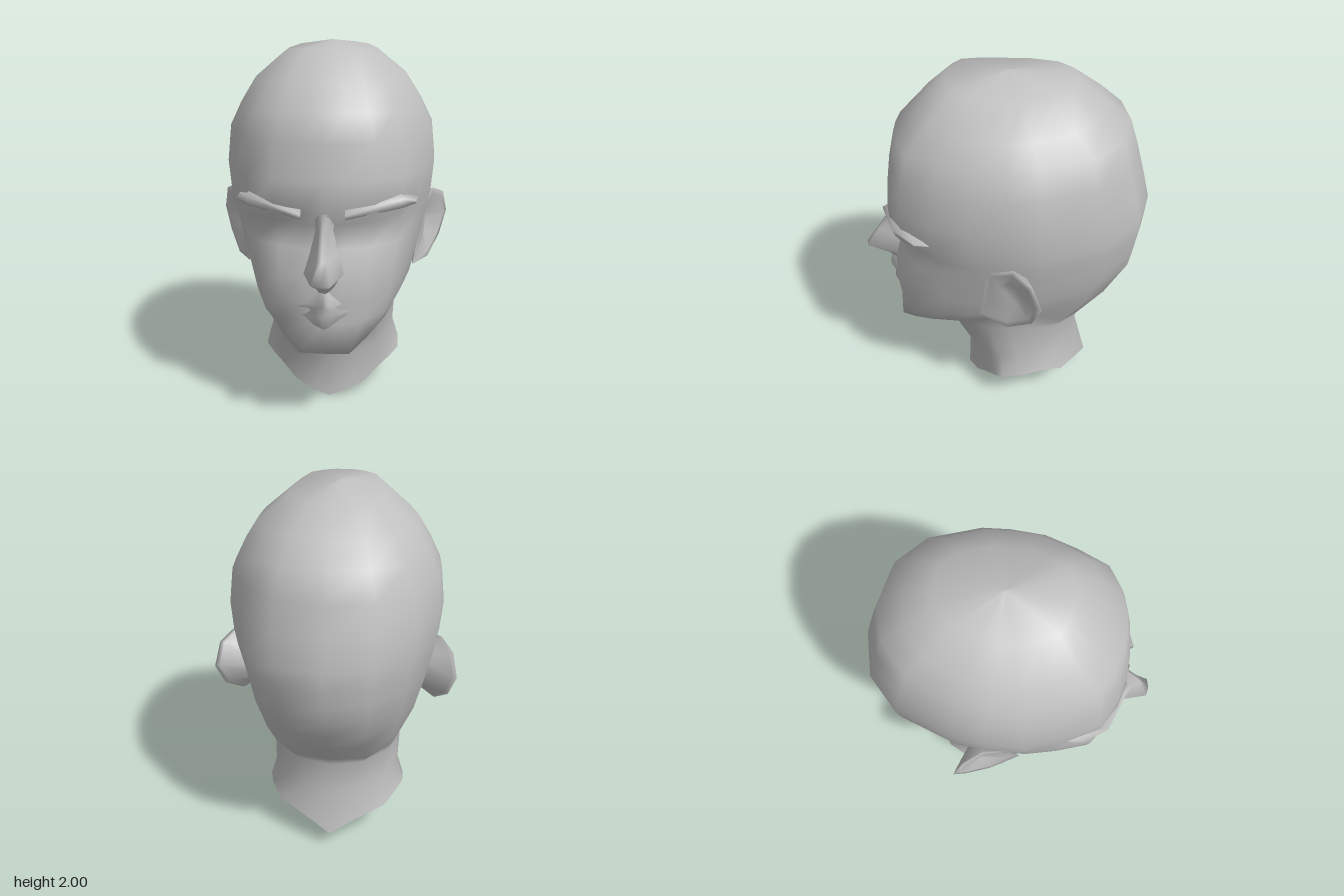
import * as THREE from 'three';

const skin = new THREE.MeshStandardMaterial({ color: 0xc0c0c0, side: THREE.DoubleSide });
skin.name = 'plain grey';

// Smooth skin stretched over a list of rings of [x, y, z] points.
function loft(rings, closed = true) {
  const n = rings[0].length, index = [];
  for (let i = 0; i < rings.length - 1; i++) {
    for (let j = 0; j < (closed ? n : n - 1); j++) {
      const k = (j + 1) % n;
      const a = i * n + j, b = i * n + k, c = b + n, d = a + n;
      index.push(a, b, c, a, c, d);
    }
  }
  const g = new THREE.BufferGeometry();
  g.setAttribute('position', new THREE.Float32BufferAttribute(rings.flat(2), 3));
  g.setIndex(index);
  g.computeVertexNormals();
  return g;
}

function part(name, geometry) {
  const mesh = new THREE.Mesh(geometry, skin);
  mesh.name = name;
  return mesh;
}

const mirrorRings = rings => rings.map(r => r.map(([x, y, z]) => [-x, y, z])).reverse();
const centre = ring => [0, 1, 2].map(k => ring.reduce((s, p) => s + p[k], 0) / ring.length);
const collapse = ring => { const c = centre(ring); return ring.map(() => c); };

// Half ring from front to back, completed on the other side.
function fullRing(xs, ys, zs) {
  const half = xs.map((x, i) => [x, ys[i], zs[i]]);
  return [...half, ...half.slice(1, -1).reverse().map(([x, y, z]) => [-x, y, z])];
}

// Skull outline seen from above, as fractions of half width and depth.
const unitX = [0, 0.2, 0.45, 0.7, 0.86, 0.98, 1, 0.97, 0.76, 0.44, 0];
const unitZ = [1, 0.99, 0.93, 0.8, 0.5, 0.2, -0.1, -0.32, -0.72, -0.93, -1];

function skullRing([yFront, ySide, yBack, zFront, zBack, width, socket = 0]) {
  const ys = unitZ.map(u => ySide + Math.abs(u) * ((u > 0 ? yFront : yBack) - ySide));
  const zs = unitZ.map((u, i) => (u > 0 ? u * zFront : -u * zBack)
    - (i >= 1 && i <= 3 ? socket : 0));
  return fullRing(unitX.map(u => u * width), ys, zs);
}

function headGeometry() {
  // Neck edge, neck, throat and jaw line
  const rings = [
    fullRing(
      [0, 0.1, 0.2, 0.28, 0.34, 0.39, 0.39, 0.36, 0.3, 0.17, 0],
      [0, 0.035, 0.07, 0.13, 0.17, 0.21, 0.235, 0.26, 0.22, 0.18, 0.1],
      [0.21, 0.2, 0.14, 0.07, 0.02, -0.03, -0.15, -0.27, -0.37, -0.44, -0.51]),
    fullRing(
      [0, 0.09, 0.18, 0.26, 0.31, 0.35, 0.355, 0.34, 0.28, 0.16, 0],
      [0.25, 0.26, 0.28, 0.3, 0.32, 0.34, 0.35, 0.36, 0.36, 0.35, 0.35],
      [0.2, 0.19, 0.16, 0.11, 0.05, -0.02, -0.12, -0.23, -0.34, -0.41, -0.44]),
    fullRing(
      [0, 0.08, 0.16, 0.24, 0.3, 0.35, 0.365, 0.35, 0.3, 0.17, 0],
      [0.42, 0.43, 0.46, 0.5, 0.54, 0.57, 0.58, 0.58, 0.56, 0.54, 0.53],
      [0.31, 0.3, 0.27, 0.22, 0.15, 0.06, -0.06, -0.18, -0.32, -0.42, -0.45]),
    fullRing(
      [0, 0.13, 0.22, 0.31, 0.37, 0.4, 0.4, 0.38, 0.33, 0.2, 0],
      [0.44, 0.44, 0.5, 0.57, 0.63, 0.67, 0.7, 0.7, 0.63, 0.58, 0.57],
      [0.595, 0.59, 0.5, 0.38, 0.22, 0.1, -0.05, -0.2, -0.35, -0.44, -0.46]),
  ];
  // Face and skull: front, side and back heights, front and back depth, half width, eye socket
  const rows = [
    [0.6, 0.78, 0.75, 0.6, -0.63, 0.45],
    [0.72, 0.88, 0.86, 0.615, -0.69, 0.475],
    [0.86, 0.97, 0.97, 0.61, -0.75, 0.5],
    [1.0, 1.05, 1.08, 0.59, -0.77, 0.52, 0.02],
    [1.12, 1.13, 1.17, 0.58, -0.78, 0.54, 0.05],
    [1.19, 1.21, 1.28, 0.635, -0.79, 0.555],
    [1.36, 1.36, 1.44, 0.62, -0.75, 0.57],
    [1.54, 1.56, 1.6, 0.595, -0.705, 0.55],
    [1.68, 1.68, 1.74, 0.565, -0.66, 0.49],
    [1.82, 1.8, 1.85, 0.44, -0.53, 0.415],
    [1.97, 1.94, 1.97, 0.29, -0.38, 0.25],
  ];
  rows.forEach(r => rings.push(skullRing(r)));
  rings.push(unitX.concat(unitX.slice(1, -1)).map(() => [0, 2, -0.03]));
  return loft(rings);
}

// Ridge on the face: height, ridge depth, ridge half width, foot half width, foot depth
const ridge = rows => loft(rows.map(([y, z, r, b, zb]) =>
  [[-b, y, zb], [-r, y, z - 0.01], [0, y, z], [r, y, z - 0.01], [b, y, zb]]), false);

function browRings() {
  const inner = [[0.11, 1.235, 0.61], [0.11, 1.2, 0.655], [0.11, 1.175, 0.64], [0.11, 1.18, 0.55]];
  const arch = [[0.38, 1.295, 0.48], [0.39, 1.26, 0.545], [0.38, 1.21, 0.53], [0.35, 1.2, 0.42]];
  const tail = [[0.455, 1.24, 0.37], [0.465, 1.225, 0.42], [0.46, 1.21, 0.42], [0.43, 1.21, 0.34]];
  return [collapse(inner), inner, arch, tail, tail.map(() => [0.47, 1.22, 0.32])];
}

function earRings() {
  const rim = [[0.46, 0.77, 0.09], [0.55, 0.77, -0.07], [0.62, 0.87, -0.2], [0.66, 1.0, -0.25],
    [0.635, 1.125, -0.2], [0.57, 1.17, -0.1], [0.53, 1.12, 0.03]];
  // Shrink the rim toward the middle of the ear and shift it sideways.
  const shrink = (s, x, f) => rim.map(p =>
    [x + (p[0] - x) * f, 0.96 + (p[1] - 0.96) * s, -0.05 + (p[2] + 0.05) * s]);
  const hollow = shrink(0.4, 0.515, 0.15);
  return [shrink(0.65, 0.46, 0), shrink(0.96, 0.45, 0.88), rim,
    shrink(0.84, 0.5, 0.9), hollow, collapse(hollow)];
}

export function createModel() {
  const model = new THREE.Group();
  model.name = 'head';
  model.add(part('skullAndNeck', headGeometry()));

  model.add(part('nose', ridge([
    [0.78, 0.645, 0.012, 0.03, 0.58],
    [0.82, 0.67, 0.03, 0.08, 0.57],
    [0.88, 0.79, 0.05, 0.11, 0.57],
    [0.98, 0.725, 0.025, 0.08, 0.55],
    [1.1, 0.645, 0.02, 0.05, 0.54],
    [1.2, 0.64, 0.03, 0.07, 0.57],
  ])));
  model.add(part('lips', ridge([
    [0.58, 0.605, 0.02, 0.06, 0.58],
    [0.655, 0.645, 0.04, 0.13, 0.585],
    [0.695, 0.625, 0.04, 0.15, 0.585],
    [0.725, 0.665, 0.025, 0.12, 0.59],
    [0.8, 0.655, 0.012, 0.04, 0.59],
  ])));

  // Paired brows and ears
  for (const [name, rings] of [['Brow', browRings()], ['Ear', earRings()]]) {
    model.add(part('left' + name, loft(rings)));
    model.add(part('right' + name, loft(mirrorRings(rings))));
  }
  return model;
}
